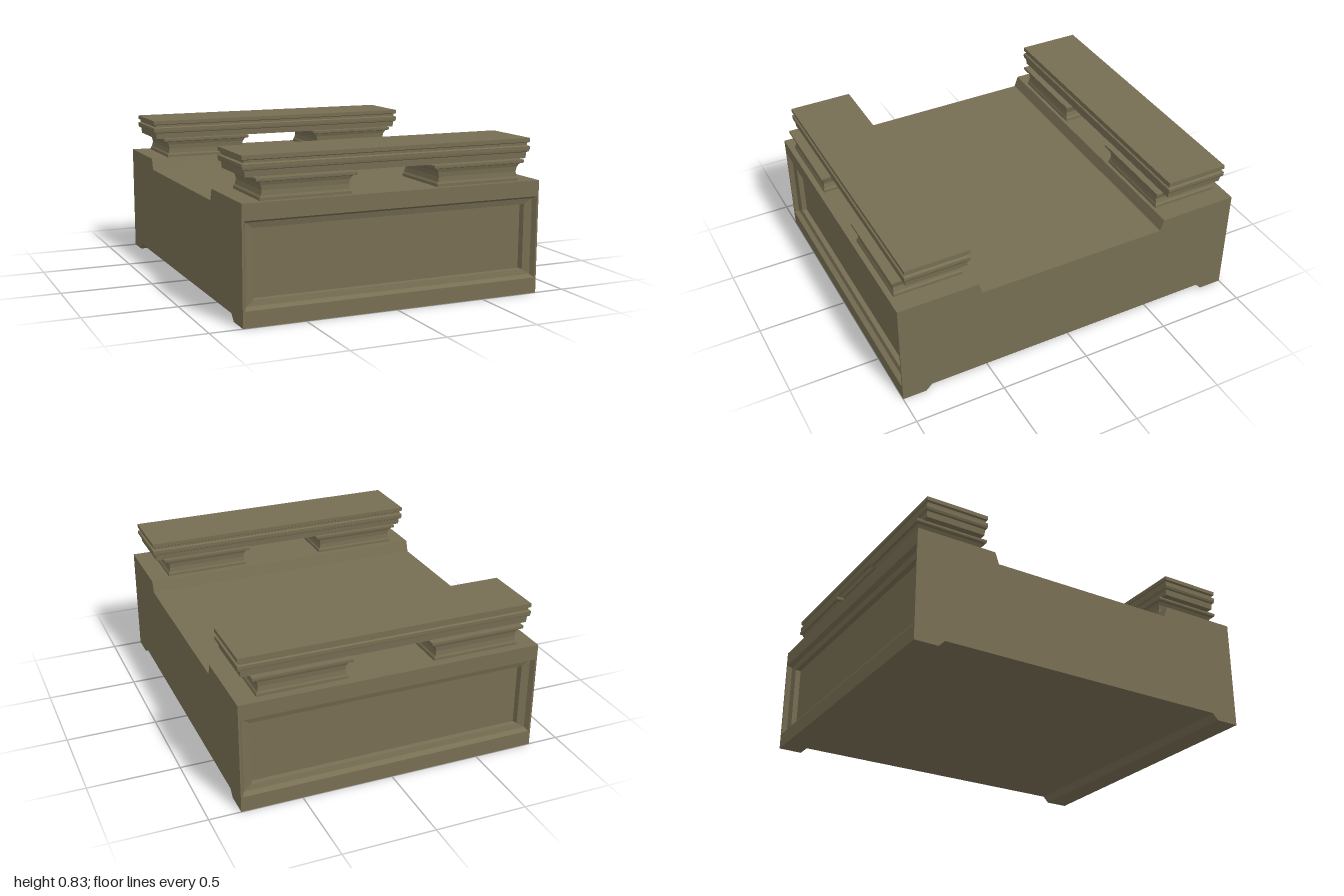
import * as THREE from 'three';

// Faceted solid through rectangular loops [halfWidth, low, high, depth], rising along +z, capped at both ends.
function rectLoft(loops) {
  const rings = loops.map(([w, lo, hi, d]) => [[-w, lo, d], [w, lo, d], [w, hi, d], [-w, hi, d]]);
  const pos = [];
  const quad = (a, b, c, d) => pos.push(...a, ...b, ...c, ...a, ...c, ...d);
  for (let r = 0; r < rings.length - 1; r++) {
    const A = rings[r], B = rings[r + 1];
    for (let i = 0; i < 4; i++) {
      const j = (i + 1) % 4;
      quad(A[i], A[j], B[j], B[i]);
    }
  }
  quad(...rings[0].slice().reverse());
  quad(...rings[rings.length - 1]);
  const geo = new THREE.BufferGeometry();
  geo.setAttribute('position', new THREE.Float32BufferAttribute(pos, 3));
  geo.computeVertexNormals();
  return geo;
}

// Upright moulding from [y, halfWidth, halfDepth] steps
function moulding(steps) {
  return rectLoft(steps.map(([y, w, d]) => [w, -d, d, y])).rotateX(-Math.PI / 2);
}

export function createModel() {
  const group = new THREE.Group();
  const stone = new THREE.MeshStandardMaterial({ color: 0x776e53 });
  stone.name = 'olive stone';

  const add = (name, geo, x = 0, z = 0, turn = 0) => {
    const mesh = new THREE.Mesh(geo, stone);
    mesh.name = name;
    mesh.position.set(x, 0, z);
    mesh.rotation.y = turn;
    group.add(mesh);
  };

  // Main block: side profile with raised ledges and low feet, extruded across x
  const half = [[0.93, 0], [0.868, 0], [0.834, 0.035]];
  const top = [[0.535, 0.547], [0.556, 0.61], [0.93, 0.61]];
  const mirror = (pts) => pts.map(([z, y]) => [-z, y]).reverse();
  const outline = [...half, ...mirror(half), ...mirror(top), ...top];
  const shape = new THREE.Shape(outline.map(([z, y]) => new THREE.Vector2(z, y)));
  const block = new THREE.ExtrudeGeometry(shape, { depth: 1.66, bevelEnabled: false });
  block.translate(0, 0, -0.83).rotateY(-Math.PI / 2);
  add('mainBlock', block);

  // Ends with a stepped, recessed panel
  const endPanel = rectLoft([
    [0.83, 0, 0.61, 0.93],
    [0.83, 0, 0.61, 1],
    [0.82, 0.085, 0.525, 1],
    [0.805, 0.1, 0.512, 0.975],
    [0.762, 0.128, 0.482, 0.967],
    [0.753, 0.13, 0.478, 0.94],
  ]);
  add('frontPanel', endPanel);
  add('backPanel', endPanel, 0, 0, Math.PI);

  // Waisted pedestals and the long stepped beams they carry
  const pedestal = moulding([
    [0.61, 0.242, 0.189],
    [0.625, 0.242, 0.189],
    [0.635, 0.235, 0.185],
    [0.66, 0.229, 0.182],
    [0.685, 0.235, 0.184],
    [0.702, 0.246, 0.19],
    [0.706, 0.262, 0.203],
    [0.712, 0.265, 0.204],
    [0.722, 0.265, 0.204],
  ]);
  const beam = moulding([
    [0.72, 0.787, 0.167],
    [0.753, 0.79, 0.169],
    [0.757, 0.8, 0.176],
    [0.768, 0.805, 0.178],
    [0.785, 0.805, 0.178],
    [0.79, 0.792, 0.17],
    [0.803, 0.793, 0.17],
    [0.807, 0.805, 0.177],
    [0.828, 0.805, 0.177],
  ]);
  for (const [side, beamZ, pedestalZ] of [['front', 0.763, 0.781], ['back', -0.763, -0.763]]) {
    add(side + 'Beam', beam, 0, beamZ);
    add(side + 'RightPedestal', pedestal, -0.485, pedestalZ);
    add(side + 'LeftPedestal', pedestal, 0.477, pedestalZ);
  }
  return group;
}
